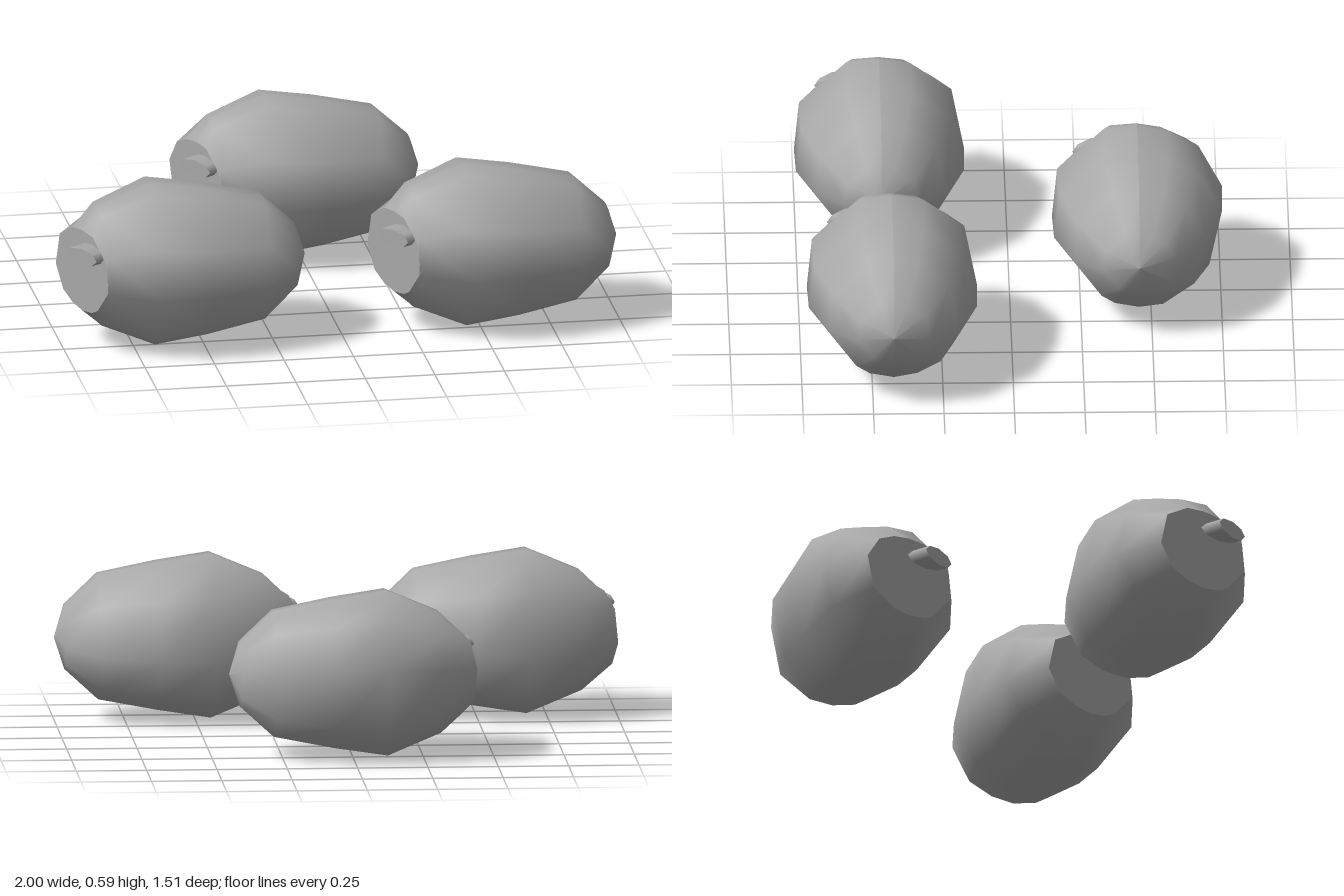
import * as THREE from 'three';

const skin = new THREE.MeshStandardMaterial({ color: 0xa8a8a8 });
skin.name = 'plain grey';

// Rings along the pod from tip to cut end: x, half height, half depth
const rings = [
  [0.4375, 0, 0], [0.4, 0.115, 0.13], [0.28, 0.225, 0.23], [0.07, 0.265, 0.298],
  [-0.12, 0.295, 0.302], [-0.31, 0.215, 0.24],
];
// Half cross-sections from top seam to bottom seam: depth, height
const frontSection = [[0, 1], [0.39, 0.965], [0.94, 0.44], [1, -0.19], [0.58, -0.8], [0.37, -0.93], [0, -1]];
const backSection = [[0, 1], [0.37, 0.95], [0.85, 0.6], [1, -0.19], [0.72, -0.73], [0.36, -0.93], [0, -1]];

// The stem end is cut off by a slanted plane
const cutX = (z) => -0.4375 + (z + 0.12) * 0.36;

// One half shell with smooth normals plus its flat half of the cut face
function halfPod(section, side, name) {
  const pos = [], idx = [], n = section.length;
  const tri = (a, b, c) => (side > 0 ? idx.push(a, b, c) : idx.push(a, c, b));
  for (const [x, ry, rz] of rings)
    for (const [z, y] of section) pos.push(x, y * ry, z * rz * side);
  const cut = section.map(([z, y]) => {
    const cz = 0.06 + z * 0.18 * side;
    return [cutX(cz), y * 0.15, cz];
  });
  pos.push(...cut.flat());
  for (let i = 0; i < rings.length; i++)
    for (let j = 0; j < n - 1; j++) {
      const a = i * n + j, b = a + n;
      tri(a, b, a + 1);
      tri(a + 1, b, b + 1);
    }
  // Separate vertices keep the cut edge sharp
  const first = pos.length / 3;
  pos.push(...cut.flat(), cutX(0.06), 0, 0.06);
  for (let j = 0; j < n - 1; j++) tri(first + n, first + j + 1, first + j);

  const geo = new THREE.BufferGeometry();
  geo.setAttribute('position', new THREE.Float32BufferAttribute(pos, 3));
  geo.setIndex(idx);
  geo.computeVertexNormals();
  const mesh = new THREE.Mesh(geo, skin);
  mesh.name = name;
  return mesh;
}

// Short flattened stem standing out of the cut face
function makeStem() {
  const geo = new THREE.CylinderGeometry(0.078, 0.078, 0.13, 8);
  geo.rotateZ(Math.PI / 2);
  geo.scale(1, 0.4, 1);
  geo.rotateY(0.62);
  const mesh = new THREE.Mesh(geo, skin);
  mesh.position.set(-0.342, 0.085, 0.125);
  mesh.name = 'stem';
  return mesh;
}

function makePod(flipBack) {
  const pod = new THREE.Group();
  const back = flipBack ? backSection.map(([z, y]) => [z, -y]).reverse() : backSection;
  pod.add(halfPod(frontSection, 1, 'frontShell'), halfPod(back, -1, 'backShell'), makeStem());
  return pod;
}

export function createModel() {
  const model = new THREE.Group();
  model.name = 'pods';
  const places = [
    ['rightPod', -0.5625, 0.45, false],
    ['leftPod', 0.5625, 0.425, false],
    ['backPod', 0, -0.455, true],
  ];
  for (const [name, x, z, flipBack] of places) {
    const pod = makePod(flipBack);
    pod.name = name;
    pod.position.set(x, 0.295, z);
    model.add(pod);
  }
  return model;
}
